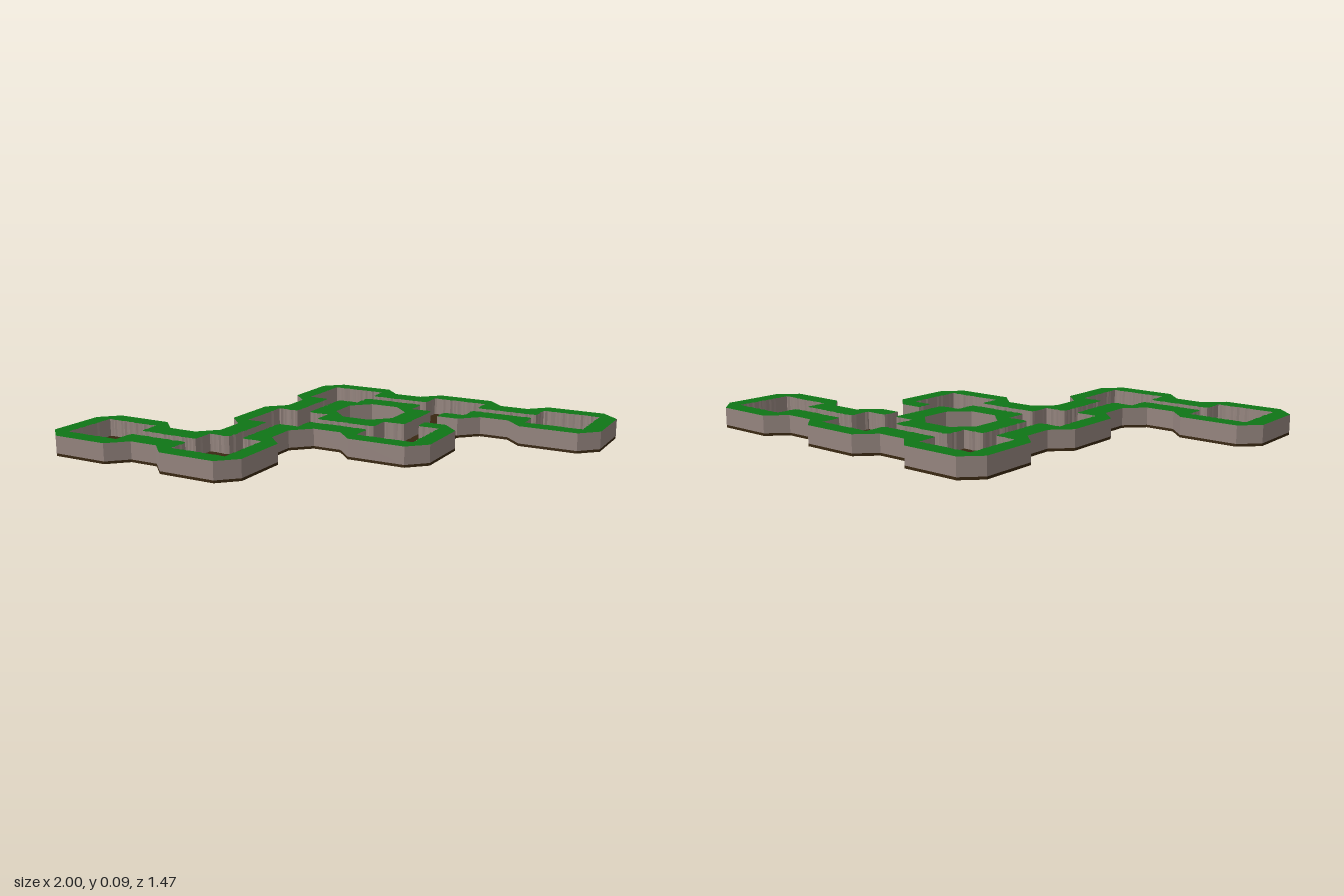
import * as THREE from 'three';

const SPACING = 0.531;  // distance between room centres
const OUTER = 0.202;    // half width of a room's octagonal outline
const ROOM = 0.126;     // half width of a room, and of a walled corridor
const PATH = 0.03;      // half width of a corridor floor
const FLOOR = 0.011, HEIGHT = 0.086;

// Rooms on the grid, as [x, z]
const P = [-0.5, -1], Q = [0.5, -1], R = [1.5, -1];
const S = [-0.5, 0], T = [0.5, 0];
const U = [-1.5, 1], V = [-0.5, 1];

// Walks along the corridors, around the outside and around the courtyard
const OUTSIDE = [T, S, V, U, V, S, P, Q, R, Q];
const COURTYARD = [S, T, Q, P];

let seed = 7;
function random() {
  seed = (seed * 16807) % 2147483647;
  return seed / 2147483647;
}

// Follow a walk and return its outer wall line and its inner (floor side) line
function trace(walk) {
  const outer = [], inner = [];
  const n = walk.length;
  walk.forEach((cell, i) => {
    const side = (other) => [Math.sign(other[0] - cell[0]), Math.sign(other[1] - cell[1])];
    const from = side(walk[(i + n - 1) % n]);
    const to = side(walk[(i + 1) % n]);
    let d = from, first = true, last = false;
    do {
      const e = [-d[1], d[0]];
      const a = d;
      const at = (u, v) => new THREE.Vector2(
        cell[0] * SPACING + a[0] * u + e[0] * v,
        -(cell[1] * SPACING + a[1] * u + e[1] * v));
      last = e[0] === to[0] && e[1] === to[1];
      outer.push(at(OUTER, ROOM), at(ROOM, OUTER));
      // softened corner where a corridor enters the room
      if (first) inner.push(at(OUTER, PATH), at(ROOM + 0.015, PATH), at(ROOM + 0.004, PATH + 0.004), at(ROOM, PATH + 0.015));
      inner.push(at(ROOM, ROOM));
      if (last) inner.push(at(PATH + 0.015, ROOM), at(PATH + 0.004, ROOM + 0.004), at(PATH, ROOM + 0.015), at(PATH, OUTER));
      d = e;
      first = false;
    } while (!last);
  });
  return { outer, inner };
}

// Break a line into short, slightly uneven steps like rough-cut stone
function roughen(points, closed) {
  const result = [];
  const count = closed ? points.length : points.length - 1;
  for (let i = 0; i < count; i++) {
    const a = points[i], b = points[(i + 1) % points.length];
    const along = b.clone().sub(a);
    const normal = new THREE.Vector2(-along.y, along.x).normalize();
    const steps = Math.max(1, Math.round(along.length() / 0.009));
    for (let k = 0; k < steps; k++) {
      const p = a.clone().addScaledVector(along, k / steps);
      if (k > 0) p.addScaledVector(normal, (random() - 0.5) * 0.007);
      result.push(p);
    }
  }
  if (!closed) result.push(points[points.length - 1]);
  return result;
}

// Raise a plan outline from y = bottom to y = top
function slab(name, outline, hole, bottom, top, material) {
  const shape = new THREE.Shape(outline);
  if (hole) shape.holes.push(new THREE.Path(hole));
  const geometry = new THREE.ExtrudeGeometry(shape, { depth: top - bottom, bevelEnabled: false });
  geometry.rotateX(-Math.PI / 2);
  geometry.translate(0, bottom, 0);
  const mesh = new THREE.Mesh(geometry, material);
  mesh.name = name;
  return mesh;
}

export function createModel() {
  const group = new THREE.Group();
  group.name = 'dungeonMap';

  const earth = new THREE.MeshStandardMaterial({ color: 0x3a2812 });
  const grass = new THREE.MeshStandardMaterial({ color: 0x0f7616 });
  const stone = new THREE.MeshStandardMaterial({ color: 0x95857f });

  const outside = trace(OUTSIDE);
  const court = trace(COURTYARD);

  // Thin floor under everything, open at the courtyard
  group.add(slab('floor', outside.outer, court.outer, 0, FLOOR, earth));

  // Outer wall; its two ends leave the doorway in the east corridor
  const outerWall = [...outside.outer, ...roughen(outside.inner, false).reverse()];
  group.add(slab('outerWall', outerWall, null, FLOOR, HEIGHT, [grass, stone]));

  // Ring of wall around the courtyard
  group.add(slab('courtyardWall', roughen(court.inner, true), court.outer, FLOOR, HEIGHT, [grass, stone]));

  return group;
}
